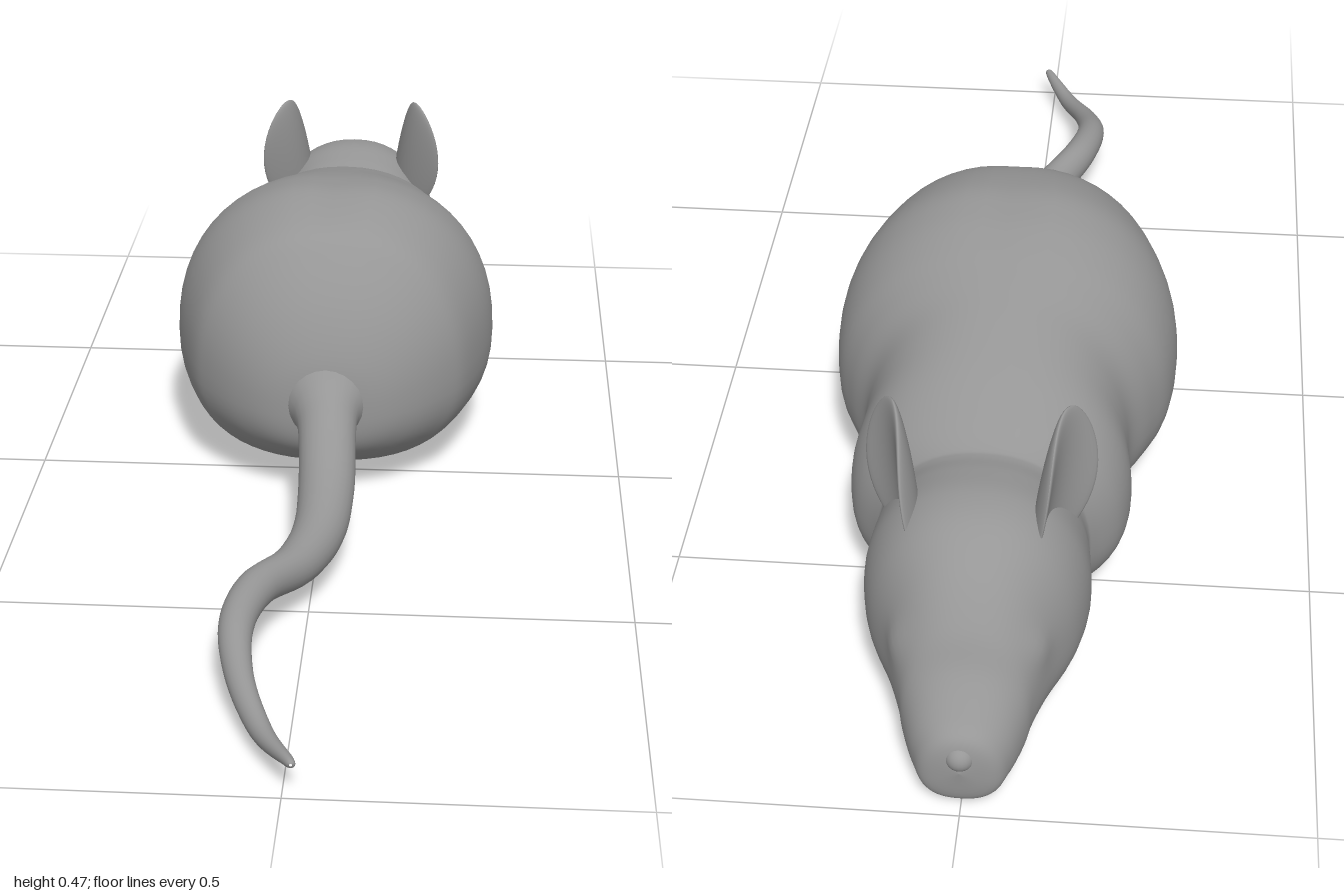
import * as THREE from 'three';

const fur = new THREE.MeshStandardMaterial({ color: 0x969696 });

function add(parent, name, geometry) {
  const mesh = new THREE.Mesh(geometry, fur);
  mesh.name = name;
  parent.add(mesh);
  return mesh;
}

// Bell curve used for local swellings and grooves
const bell = (value, centre, width) => Math.exp(-(((value - centre) / width) ** 2));

// Smooth skin through rows of [z, centreX, halfWidth, bottomY, topY], ordered from +z to -z.
// mid is the height of the widest point; adjust(point) may reshape each vertex.
function loft(rows, { mid = 0.5, upper = 2, lower = 2, sides = 56, steps = 6, adjust } = {}) {
  const plan = new THREE.CatmullRomCurve3(rows.map(r => new THREE.Vector3(r[0], r[1], r[2])), false, 'catmullrom', 0.5);
  const side = new THREE.CatmullRomCurve3(rows.map(r => new THREE.Vector3(r[3], r[4], 0)), false, 'catmullrom', 0.5);
  const n = (rows.length - 1) * steps;
  const position = [], index = [];
  const p = new THREE.Vector3();
  for (let i = 0; i <= n; i++) {
    const a = plan.getPoint(i / n), b = side.getPoint(i / n);
    const midY = b.x + (b.y - b.x) * mid;
    for (let j = 0; j < sides; j++) {
      const t = (j / sides) * Math.PI * 2;
      const c = Math.cos(t), s = Math.sin(t);
      const e = 2 / (s > 0 ? upper : lower);
      const height = s > 0 ? b.y - midY : midY - b.x;
      p.set(
        a.y + Math.max(a.z, 0) * Math.sign(c) * Math.abs(c) ** e,
        midY + height * Math.sign(s) * Math.abs(s) ** e,
        a.x
      );
      if (adjust) adjust(p, s);
      position.push(p.x, p.y, p.z);
      if (i < n) {
        const k = (j + 1) % sides, r = i * sides, q = r + sides;
        index.push(r + j, q + j, r + k, q + j, q + k, r + k);
      }
    }
  }
  const g = new THREE.BufferGeometry();
  g.setAttribute('position', new THREE.Float32BufferAttribute(position, 3));
  g.setIndex(index);
  g.computeVertexNormals();
  return g;
}

// Flattened ellipsoid curved into a shallow cup that opens along +z, its tip swept backwards
function earGeometry(s) {
  const g = new THREE.SphereGeometry(1, 32, 24);
  const pos = g.attributes.position;
  for (let i = 0; i < pos.count; i++) {
    const v = pos.getY(i);
    const x = pos.getX(i) * 0.073 * (1 - 0.1 * v);
    pos.setXYZ(i, x - s * 0.022 * v, v * 0.122, pos.getZ(i) * 0.013 + 6 * x * x);
  }
  g.computeVertexNormals();
  return g;
}

export function createModel() {
  const model = new THREE.Group();
  model.name = 'mouse';

  // Rump, haunches, shoulders, neck and head in one skin
  const bodyRows = [
    [0.145, 0, 0, 0.17, 0.18],
    [0.133, 0, 0.085, 0.11, 0.26],
    [0.1, 0, 0.15, 0.073, 0.338],
    [0.05, 0, 0.205, 0.044, 0.407],
    [0, 0, 0.237, 0.022, 0.45],
    [-0.1, 0, 0.268, 0.005, 0.479],
    [-0.18, 0, 0.277, 0.003, 0.477],
    [-0.26, 0, 0.267, 0.002, 0.462],
    [-0.32, 0, 0.24, 0.003, 0.447],
    [-0.37, 0, 0.212, 0.003, 0.432],
    [-0.42, 0, 0.208, 0.005, 0.415],
    [-0.49, 0, 0.216, 0.012, 0.389],
    [-0.55, 0, 0.203, 0.023, 0.364],
    [-0.6, 0, 0.167, 0.038, 0.343],
    [-0.62, 0, 0.158, 0.044, 0.341],
    [-0.66, 0, 0.163, 0.035, 0.35],
    [-0.72, 0, 0.166, 0.027, 0.358],
    [-0.78, 0, 0.152, 0.022, 0.348],
    [-0.84, 0, 0.12, 0.018, 0.312],
    [-0.89, 0, 0.098, 0.017, 0.255],
    [-0.92, 0, 0.088, 0.017, 0.2],
    [-0.96, 0, 0.07, 0.018, 0.152],
    [-0.985, 0, 0.05, 0.022, 0.127],
    [-0.994, 0, 0, 0.08, 0.08]
  ];
  add(model, 'body', loft(bodyRows, {
    mid: 0.42, upper: 2.2, lower: 2.4,
    adjust(p, s) {
      // groove along the spine, haunch crease curving back, and soft swellings at the eyes
      if (s > 0) p.y -= 0.009 * bell(p.z, -0.12, 0.13) * bell(p.x, 0, 0.04);
      p.x += Math.sign(p.x) * 0.007 * bell(p.z, -0.865, 0.022) * bell(p.y, 0.2, 0.03);
      p.z += 0.02 * s * s * bell(p.z, -0.33, 0.1);
    }
  }));

  // Tapering tail that swings sideways and flares into the rump
  const tail = [
    [1, 0.013, 0.055, 0.002], [0.985, 0.008, 0.052, 0.009], [0.9, -0.035, 0.04, 0.017],
    [0.8, -0.075, 0.063, 0.021], [0.7, -0.09, 0.09, 0.026], [0.6, -0.07, 0.097, 0.031],
    [0.5, -0.02, 0.083, 0.036], [0.4, 0.008, 0.086, 0.041], [0.3, 0.014, 0.11, 0.045],
    [0.2, 0.009, 0.157, 0.047], [0.16, 0.005, 0.175, 0.052], [0.135, 0.002, 0.185, 0.064],
    [0.1, 0, 0.195, 0.09]
  ];
  add(model, 'tail', loft(tail.map(([z, x, y, r]) => [z, x, r, y - r, y + r]), { sides: 24 }));

  add(model, 'nose', new THREE.SphereGeometry(0.022, 24, 16)).position.set(0, 0.1, -0.978);

  // Paired ears
  for (const s of [1, -1]) {
    const ear = add(model, s > 0 ? 'leftEar' : 'rightEar', earGeometry(s));
    ear.position.set(s * 0.106, 0.345, -0.68);
    ear.rotation.order = 'YXZ';
    ear.rotation.set(0.03, s * 2.05, s * 0.1);
  }
  return model;
}
